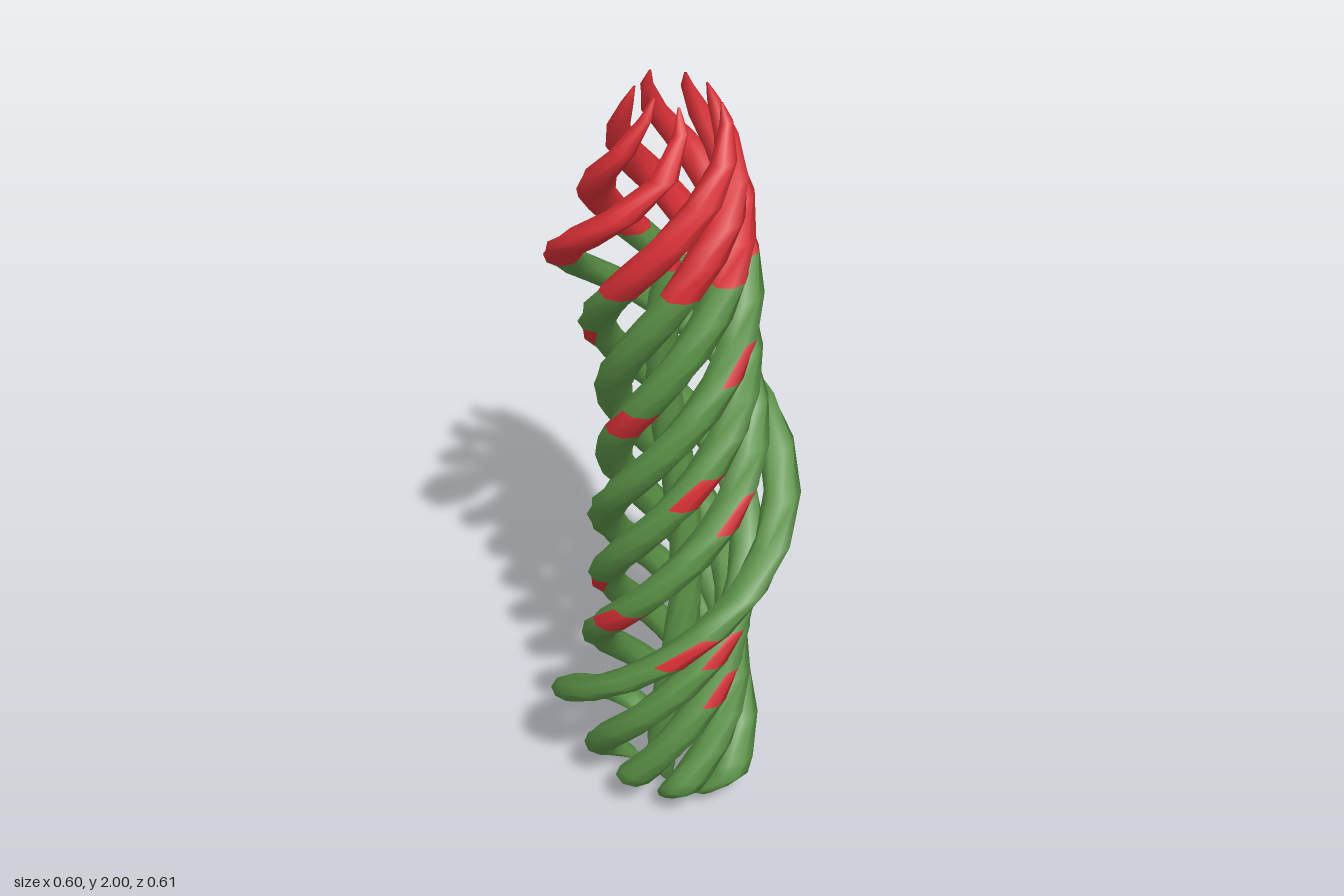
import * as THREE from 'three';

const STEP = 0.0785;                 // height of one tube segment
const TURN = Math.PI * 2 / 1.27;     // twist per unit of height
const SIDES = 8;
const deg = THREE.MathUtils.degToRad;
const ramp = (v, a, b) => THREE.MathUtils.clamp((v - a) / (b - a), 0, 1);

// One twisted strand: level rings stacked along a helix, tapering at both ends.
// lean is how much of the helix radius is left at the top,
// spots are the heights of short red marks on the outer side.
function strand({ name, phase, radius, tube, bottom, top = 2, lean = 0.55, spots = [] }, green, red) {
  const levels = [bottom, bottom + 0.03, bottom + 0.06];
  for (let k = 1.6; k * STEP < top - 0.07; k = Math.floor(k) + 1) levels.push(k * STEP);
  levels.push(top - 0.04, top);

  const pos = [];
  for (const y of levels) {
    const foot = ramp(y, bottom, 0.125);
    const bend = ramp(y, top, top - 0.28), head = ramp(y, top, top - 0.25);
    const r = radius * (1.02 - 0.04 * y) * (0.5 + 0.5 * Math.pow(foot, 0.8))
      * (lean + (1 - lean) * Math.sin(bend * Math.PI / 2));
    const w = tube * (0.06 + 0.94 * Math.pow(foot, 0.6)) * (0.06 + 0.94 * Math.pow(head, 0.7));
    const a = deg(phase) + Math.min(y, 1.93) * TURN;   // tips point straight inward
    for (let j = 0; j < SIDES; j++) {
      const p = (j - 1) / SIDES * Math.PI * 2;
      const out = r + w * Math.cos(p), along = 1.1 * w * Math.sin(p);
      pos.push(out * Math.sin(a) + along * Math.cos(a), y, out * Math.cos(a) - along * Math.sin(a));
    }
  }

  // Sort the faces into the green stalk and the red head and marks
  const stalk = [], tip = [];
  for (let i = 0; i < levels.length - 1; i++) {
    const mid = (levels[i] + levels[i + 1]) / 2;
    const marked = spots.some((y) => Math.abs(y - mid) <= STEP / 2);
    for (let j = 0; j < SIDES; j++) {
      const k = (j + 1) % SIDES;
      const a = i * SIDES + j, b = i * SIDES + k, c = b + SIDES, d = a + SIDES;
      const isRed = mid > 1.57 || (marked && j < 3);
      (isRed ? tip : stalk).push(a, b, c, a, c, d);
    }
  }
  const whole = new THREE.BufferGeometry();
  whole.setAttribute('position', new THREE.Float32BufferAttribute(pos, 3));
  whole.setIndex([...stalk, ...tip]);
  whole.computeVertexNormals();

  const group = new THREE.Group();
  group.name = name;
  for (const [part, index, material] of [['Stalk', stalk, green], ['RedTip', tip, red]]) {
    const geometry = whole.clone();
    geometry.setIndex(index);
    const mesh = new THREE.Mesh(geometry, material);
    mesh.name = name + part;
    group.add(mesh);
  }
  return group;
}

export function createModel() {
  const green = new THREE.MeshStandardMaterial({ color: 0x5a9146, side: THREE.DoubleSide });
  const red = new THREE.MeshStandardMaterial({ color: 0xd93036, side: THREE.DoubleSide });
  const model = new THREE.Group();
  model.name = 'twistedStrands';

  // Seven strands evenly spaced around the axis, one of them on a wider helix
  const ring = [
    { radius: 0.165, lean: 0.62, spots: [0.37, 0.57, 1.37] },
    { radius: 0.165, spots: [0.65, 1.05] },
    { radius: 0.185, lean: 0.35, spots: [0.35, 0.68, 1.0] },
    { radius: 0.26, lean: 0.35, spots: [0.68, 1.32] },
    { radius: 0.18, lean: 0.7, spots: [0.58, 0.97, 1.4] },
    { radius: 0.145, spots: [0.42] },
    { radius: 0.145, spots: [0.83, 1.23] },
  ];
  ring.forEach((s, i) => model.add(strand({
    ...s, name: i === 3 ? 'wideStrand' : 'strand' + (i + 1),
    phase: -23 + i * 360 / 7, tube: 0.044, bottom: 0.03 + (i % 3) * 0.01,
  }, green, red)));

  // Shorter core strand close to the axis
  model.add(strand({ name: 'coreStrand', phase: 200, radius: 0.03, tube: 0.04, bottom: 0, top: 1.69 }, green, red));
  return model;
}
